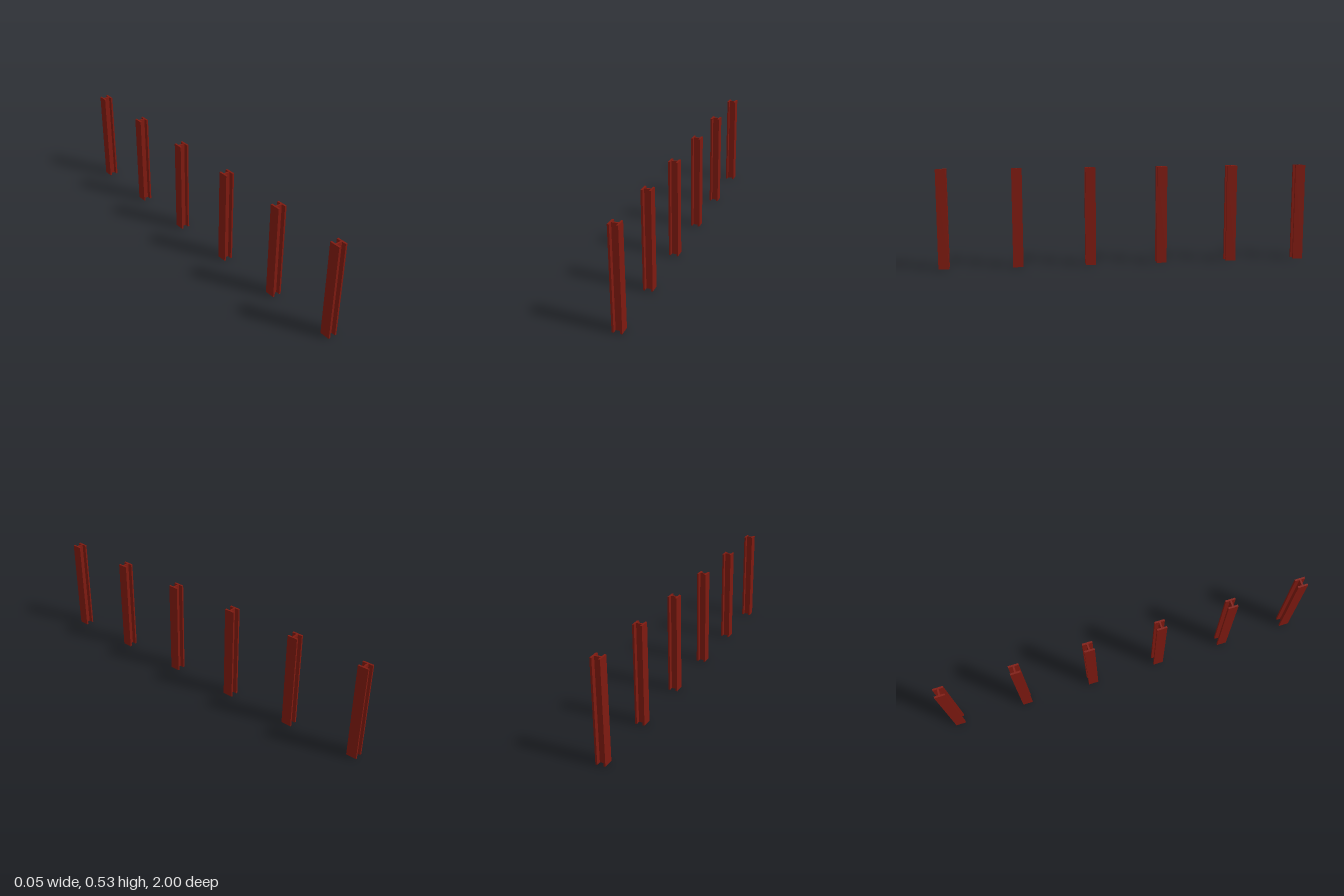
import * as THREE from 'three';

export function createModel() {
  const group = new THREE.Group();
  const material = new THREE.MeshStandardMaterial({ color: 0x7f1a10 });

  // H-shaped section: flanges at +-x, web between them
  const halfW = 0.0255, halfD = 0.0275, flange = 0.0098, halfWeb = 0.0045;
  const height = 0.527, count = 6;
  const inner = halfW - flange;
  const section = new THREE.Shape([
    [-halfW, -halfD], [-inner, -halfD], [-inner, -halfWeb], [inner, -halfWeb],
    [inner, -halfD], [halfW, -halfD], [halfW, halfD], [inner, halfD],
    [inner, halfWeb], [-inner, halfWeb], [-inner, halfD], [-halfW, halfD],
  ].map(([x, y]) => new THREE.Vector2(x, y)));

  // Extrude upward
  const geometry = new THREE.ExtrudeGeometry(section, { depth: height, bevelEnabled: false });
  geometry.rotateX(-Math.PI / 2);

  // Evenly spaced row of posts along z
  const end = 1 - halfD;
  for (let i = 0; i < count; i++) {
    const post = new THREE.Mesh(geometry, material);
    post.name = `beamPost${i + 1}`;
    post.position.z = end - (2 * end * i) / (count - 1);
    group.add(post);
  }
  return group;
}
